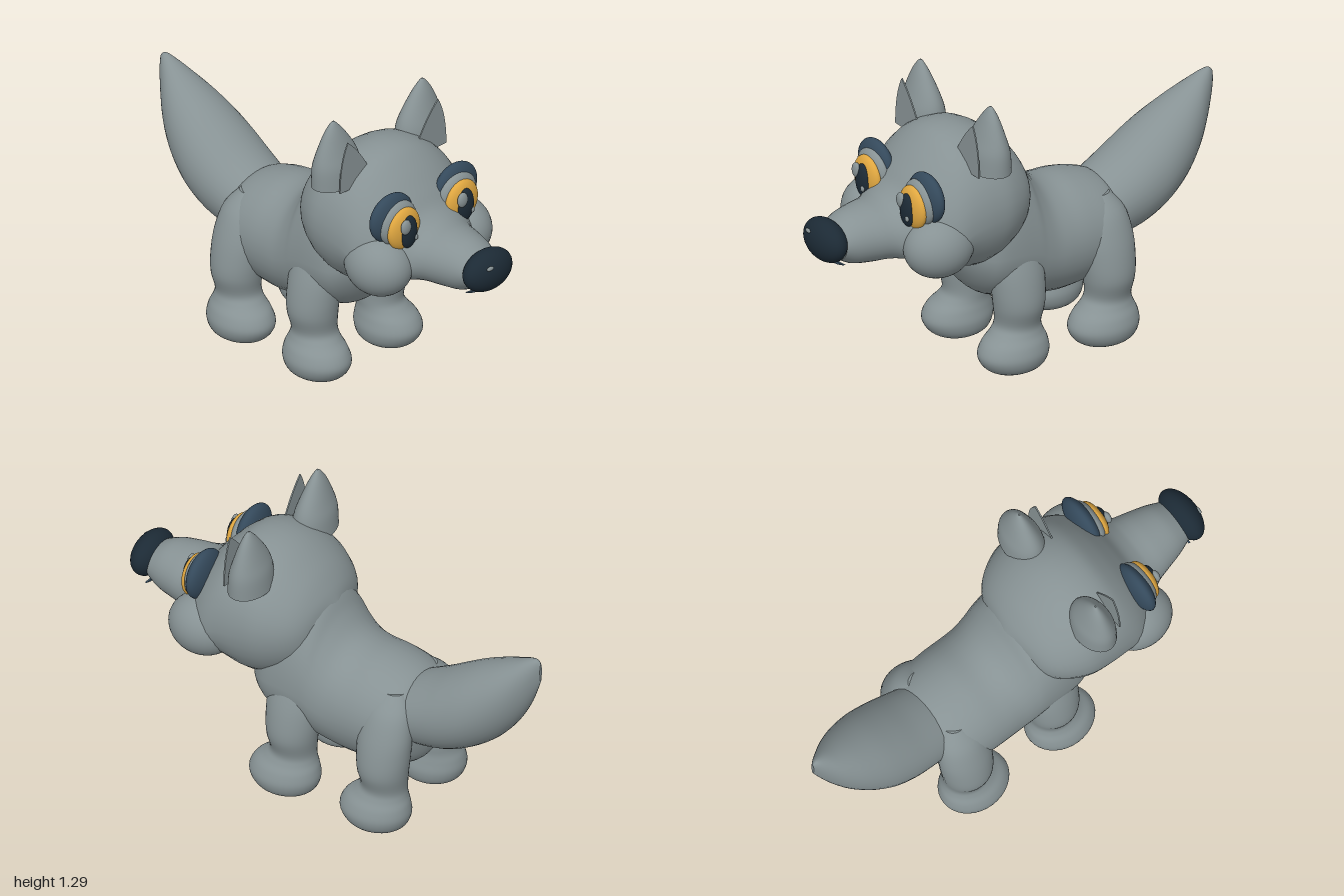
import * as THREE from 'three';

const mat = (name, color, extra = {}) => {
  const m = new THREE.MeshStandardMaterial({ color, ...extra });
  m.name = name;
  return m;
};

// Smooth value between rows of numbers (Catmull-Rom per column)
function sampleRows(rows, t) {
  const i = Math.min(Math.floor(t), rows.length - 2), u = t - i;
  const at = k => rows[Math.max(0, Math.min(rows.length - 1, k))];
  const [p, q, r, s] = [at(i - 1), at(i), at(i + 1), at(i + 2)];
  return q.map((_, c) => q[c] + 0.5 * u * (r[c] - p[c] + u * (2 * p[c] - 5 * q[c] + 4 * r[c] - s[c]
    + u * (3 * (q[c] - r[c]) + s[c] - p[c]))));
}

// Closed skin over rows of cross-sections; place(row, angle) gives a point
function loft(rows, place, steps = 5, sides = 36) {
  const rings = (rows.length - 1) * steps + 1, pos = [], idx = [];
  for (let i = 0; i < rings; i++) {
    const row = sampleRows(rows, i / steps);
    for (let j = 0; j < sides; j++) pos.push(...place(row, j / sides * Math.PI * 2));
  }
  for (let i = 0; i < rings - 1; i++) for (let j = 0; j < sides; j++) {
    const k = (j + 1) % sides, a = i * sides + j, b = i * sides + k;
    idx.push(a, b, a + sides, b, b + sides, a + sides);
  }
  // Flat caps with their own vertices, so the rim stays sharp
  for (const end of [0, rings - 1]) {
    const base = pos.length / 3, centre = [0, 0, 0];
    for (let j = 0; j < sides; j++) for (let c = 0; c < 3; c++) {
      const v = pos[(end * sides + j) * 3 + c];
      pos.push(v);
      centre[c] += v / sides;
    }
    pos.push(...centre);
    for (let j = 0; j < sides; j++) {
      const a = base + j, b = base + (j + 1) % sides;
      idx.push(base + sides, ...(end ? [a, b] : [b, a]));
    }
  }
  const g = new THREE.BufferGeometry();
  g.setAttribute('position', new THREE.Float32BufferAttribute(pos, 3));
  g.setIndex(idx);
  g.computeVertexNormals();
  return g;
}

// Row along z: [z, half width, widest y, top y, bottom y]
const alongZ = ([z, w, mid, top, bottom], a) => {
  const s = Math.sin(a);
  return [w * Math.cos(a), mid + s * (s > 0 ? top - mid : mid - bottom), z];
};
// Row along y: [y, centre x, x radius, centre z, z radius]
const alongY = ([y, x, rx, z, rz], a) => [x + rx * Math.cos(a), y, z - rz * Math.sin(a)];

const TORSO = [
  [-0.47, 0.05, 0.45, 0.5, 0.38], [-0.455, 0.15, 0.47, 0.6, 0.31], [-0.42, 0.21, 0.48, 0.67, 0.27],
  [-0.35, 0.24, 0.48, 0.705, 0.245], [-0.25, 0.25, 0.48, 0.728, 0.232], [-0.15, 0.25, 0.48, 0.735, 0.225],
  [-0.08, 0.25, 0.48, 0.765, 0.235], [-0.02, 0.255, 0.5, 0.83, 0.245], [0.03, 0.26, 0.53, 0.91, 0.26],
  [0.12, 0.265, 0.55, 1.0, 0.28], [0.2, 0.26, 0.55, 1.0, 0.31], [0.25, 0.24, 0.55, 0.95, 0.355],
  [0.29, 0.2, 0.56, 0.85, 0.42], [0.33, 0.1, 0.58, 0.7, 0.5]];
const HEAD = [
  [0.01, 0.06, 0.8, 0.88, 0.72], [0.04, 0.19, 0.8, 0.94, 0.63], [0.1, 0.27, 0.8, 1.015, 0.56],
  [0.2, 0.325, 0.8, 1.09, 0.5], [0.3, 0.337, 0.79, 1.122, 0.48], [0.4, 0.335, 0.77, 1.11, 0.515],
  [0.48, 0.325, 0.73, 1.05, 0.55], [0.55, 0.285, 0.71, 0.97, 0.585], [0.6, 0.235, 0.71, 0.905, 0.6],
  [0.65, 0.19, 0.72, 0.872, 0.607], [0.69, 0.165, 0.73, 0.862, 0.608], [0.75, 0.147, 0.735, 0.858, 0.61],
  [0.83, 0.124, 0.735, 0.845, 0.622], [0.89, 0.1, 0.735, 0.815, 0.655]];
const TAIL = [
  [-1, 0.008, 0.945, 0.98, 0.89], [-0.98, 0.03, 0.92, 0.996, 0.83], [-0.94, 0.065, 0.86, 0.985, 0.73],
  [-0.88, 0.11, 0.79, 0.955, 0.625], [-0.8, 0.15, 0.72, 0.915, 0.53], [-0.7, 0.178, 0.65, 0.862, 0.455],
  [-0.6, 0.185, 0.6, 0.8, 0.405], [-0.5, 0.18, 0.56, 0.735, 0.378], [-0.4, 0.17, 0.52, 0.68, 0.37]];
const LEG = [
  [0, 0.2, 0.02, 0.13, 0.03], [0.01, 0.2, 0.07, 0.13, 0.085], [0.04, 0.203, 0.115, 0.13, 0.135],
  [0.09, 0.205, 0.13, 0.132, 0.158], [0.14, 0.203, 0.118, 0.125, 0.145], [0.18, 0.195, 0.1, 0.11, 0.115],
  [0.22, 0.19, 0.094, 0.1, 0.1], [0.3, 0.2, 0.105, 0.1, 0.11], [0.38, 0.195, 0.105, 0.1, 0.117],
  [0.48, 0.18, 0.095, 0.1, 0.118], [0.58, 0.15, 0.08, 0.1, 0.1], [0.65, 0.12, 0.04, 0.1, 0.05]];
const EAR = [
  [1.0, 0.238, 0.122, 0.28, 0.085], [1.085, 0.24, 0.118, 0.28, 0.078], [1.15, 0.243, 0.098, 0.28, 0.06],
  [1.23, 0.252, 0.054, 0.28, 0.034], [1.275, 0.256, 0.02, 0.28, 0.014], [1.29, 0.256, 0.004, 0.28, 0.003]];

export function createModel() {
  const model = new THREE.Group();
  model.name = 'wolfPup';
  const grey = mat('greyFur', 0x879294);
  const slate = mat('slateBlue', 0x34495b);
  const amber = mat('amberIris', 0xe0a740);
  const dark = mat('darkNavy', 0x1c2a35);

  const add = (parent, name, geometry, material) => {
    const mesh = new THREE.Mesh(geometry, material);
    mesh.name = name;
    parent.add(mesh);
    return mesh;
  };
  const group = name => {
    const g = new THREE.Group();
    g.name = name;
    model.add(g);
    return g;
  };
  const ball = new THREE.SphereGeometry(1, 36, 24);
  const ellipsoid = (parent, name, material, centre, radii) => {
    const mesh = add(parent, name, ball, material);
    mesh.position.set(...centre);
    mesh.scale.set(...radii);
    return mesh;
  };
  // Mirror rows along y to the other side
  const onSide = (rows, side) => rows.map(([y, x, ...rest]) => [y, x * side, ...rest]);

  // Body
  add(model, 'torso', loft(TORSO, alongZ), grey);
  add(model, 'tail', loft(TAIL, alongZ), grey);
  add(model, 'headAndSnout', loft(HEAD, alongZ), grey);

  for (const side of [1, -1]) {
    const label = side > 0 ? 'left' : 'right';

    // Legs: front and hind share one shape
    const leg = loft(onSide(LEG, side), alongY);
    add(model, label + 'FrontLeg', leg, grey);
    add(model, label + 'HindLeg', leg, grey).position.z = -0.45;

    ellipsoid(model, label + 'Cheek', grey, [side * 0.228, 0.7, 0.52], [0.132, 0.135, 0.155]);

    // Ear with a thin inner plate standing just in front
    const ear = group(label + 'Ear');
    add(ear, 'outerEar', loft(onSide(EAR, side), alongY), grey);
    const inner = new THREE.Shape();
    inner.moveTo(side * 0.306, 1.0);
    inner.quadraticCurveTo(side * 0.306, 1.14, side * 0.26, 1.225);
    inner.quadraticCurveTo(side * 0.2, 1.17, side * 0.15, 1.08);
    inner.lineTo(side * 0.15, 1.0);
    add(ear, 'innerEar', new THREE.ExtrudeGeometry(inner, { depth: 0.006, bevelEnabled: false }), grey)
      .position.z = 0.367;

    // Eye: stacked lenses from brow to glints (glints fall on the same side in both eyes)
    const eye = group(label + 'Eye');
    ellipsoid(eye, 'brow', slate, [side * 0.186, 0.916, 0.55], [0.117, 0.108, 0.045]);
    ellipsoid(eye, 'eyelid', grey, [side * 0.172, 0.895, 0.575], [0.101, 0.1, 0.045]);
    ellipsoid(eye, 'iris', amber, [side * 0.167, 0.878, 0.605], [0.088, 0.095, 0.036]);
    ellipsoid(eye, 'pupil', dark, [side * 0.163, 0.87, 0.63], [0.045, 0.075, 0.026]);
    ellipsoid(eye, 'largeGlint', grey, [side * 0.163 - 0.029, 0.908, 0.645], [0.026, 0.034, 0.015]);
    ellipsoid(eye, 'smallGlint', grey, [side * 0.163 + 0.024, 0.844, 0.65], [0.01, 0.013, 0.008]);
  }

  // Nose
  ellipsoid(model, 'nose', dark, [0, 0.75, 0.93], [0.127, 0.092, 0.07]);
  ellipsoid(model, 'noseGlint', grey, [-0.04, 0.791, 0.988], [0.018, 0.009, 0.008]);

  // Mouth: thin crescent under the nose
  const lips = new THREE.Shape();
  lips.moveTo(-0.095, 0.663);
  lips.quadraticCurveTo(0, 0.622, 0.095, 0.663);
  lips.quadraticCurveTo(0, 0.652, -0.095, 0.663);
  add(model, 'mouth', new THREE.ExtrudeGeometry(lips, { depth: 0.009, bevelEnabled: false }), slate)
    .position.z = 0.895;

  return model;
}
